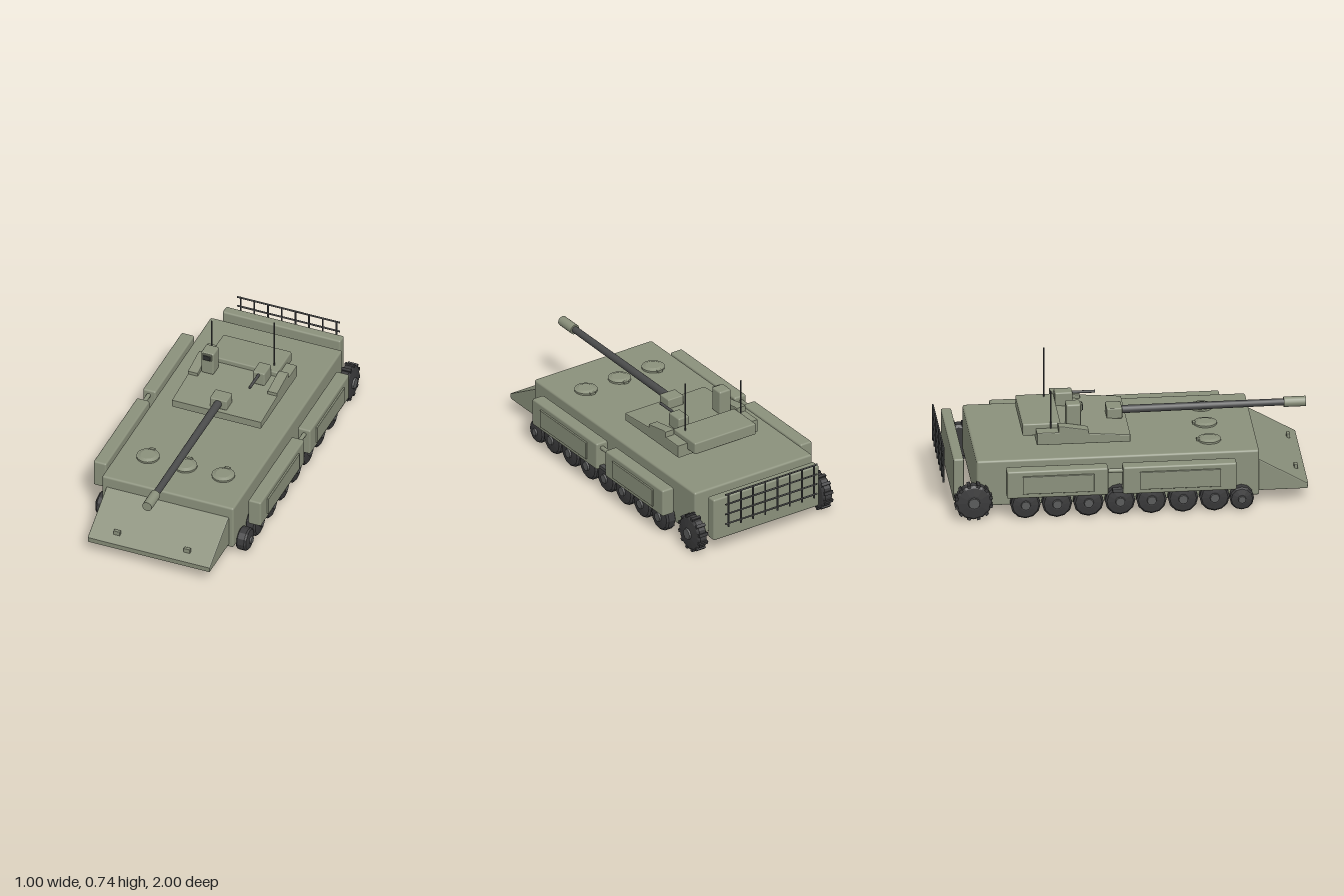
import * as THREE from 'three';
import { RoundedBoxGeometry } from 'three/addons/geometries/RoundedBoxGeometry.js';

const paint = (name, color) => {
  const m = new THREE.MeshStandardMaterial({ color });
  m.name = name;
  return m;
};

export function createModel() {
  const green = paint('armourGreen', 0x8b917c);
  const rubber = paint('rubber', 0x3a3a3b);
  const metal = paint('darkMetal', 0x4b4c4c);
  const hubGrey = paint('hubGrey', 0x5a5b5b);
  const glass = paint('sightGlass', 0x2e3130);

  const model = new THREE.Group();
  model.name = 'armouredVehicle';

  const add = (name, geo, mat, x = 0, y = 0, z = 0, parent = model) => {
    const m = new THREE.Mesh(geo, mat);
    m.name = name;
    m.position.set(x, y, z);
    parent.add(m);
    return m;
  };
  // Rounded box from its min and max corners
  const box = (name, mat, [x0, x1], [y0, y1], [z0, z1], r = 0.008, parent = model) =>
    add(name, new RoundedBoxGeometry(x1 - x0, y1 - y0, z1 - z0, 2, r), mat,
      (x0 + x1) / 2, (y0 + y1) / 2, (z0 + z1) / 2, parent);
  // Side profile of [z, y] points, extruded across x about its centre
  const prism = (name, mat, pts, width, x = 0, bevel = 0.006) => {
    const geo = new THREE.ExtrudeGeometry(
      new THREE.Shape(pts.map(p => new THREE.Vector2(...p))),
      { depth: width - 2 * bevel, bevelEnabled: true, bevelSize: bevel, bevelThickness: bevel, bevelOffset: -bevel, bevelSegments: 2 });
    geo.translate(0, 0, -width / 2 + bevel);
    geo.rotateY(-Math.PI / 2);
    return add(name, geo, mat, x);
  };
  // Cylinder between two points
  const rod = (name, mat, a, b, r, sides = 8, rEnd = r) => {
    const p = new THREE.Vector3(...a), q = new THREE.Vector3(...b);
    const d = q.clone().sub(p);
    const m = add(name, new THREE.CylinderGeometry(rEnd, r, d.length(), sides), mat);
    m.position.copy(p).add(q).multiplyScalar(0.5);
    m.quaternion.setFromUnitVectors(new THREE.Vector3(0, 1, 0), d.normalize());
    return m;
  };

  // Hull and sloped nose
  box('hull', green, [-0.385, 0.385], [0.065, 0.33], [-0.825, 0.71], 0.012);
  prism('nosePlate', green, [[0.69, 0.08], [0.975, 0.08], [0.978, 0.11], [0.71, 0.265], [0.69, 0.265]], 0.716);
  for (const s of [-1, 1])
    box('noseLight', green, [s * 0.205 - 0.019, s * 0.205 + 0.019], [0.138, 0.164], [0.915, 0.935], 0.003);

  // Roof hatches
  for (const x of [-0.22, 0, 0.22]) {
    add('hatchRing', new THREE.CylinderGeometry(0.063, 0.063, 0.012, 20), green, x, 0.334, 0.455);
    add('hatchLid', new THREE.CylinderGeometry(0.04, 0.057, 0.008, 20), green, x, 0.343, 0.455);
    box('hatchHinge', green, [x - 0.015, x + 0.015], [0.33, 0.344], [0.385, 0.402], 0.003);
  }

  // Wheels
  const wheel = (side, z, r, lugs) => {
    const g = new THREE.Group();
    g.name = lugs ? 'rearWheel' : 'roadWheel';
    const profile = [[0.001, -0.03], [r * 0.85, -0.03], [r, -0.02], [r, 0.02], [r * 0.88, 0.03], [r * 0.42, 0.036], [0.001, 0.036]];
    const geo = new THREE.LatheGeometry(profile.map(p => new THREE.Vector2(...p)), 12).toNonIndexed();
    geo.computeVertexNormals();
    add('tyre', geo, rubber, 0, 0, 0, g);
    add('hub', new THREE.CylinderGeometry(r * 0.3, r * 0.34, 0.014, 12), hubGrey, 0, 0.038, 0, g);
    for (let i = 0; i < lugs; i++) {
      const a = (i + 0.5) / lugs * Math.PI * 2;
      const lug = add('treadLug', new THREE.BoxGeometry(0.016, 0.056, 0.018), rubber, Math.cos(a) * r * 0.97, 0, -Math.sin(a) * r * 0.97, g);
      lug.rotation.y = a;
    }
    g.rotation.z = -side * Math.PI / 2;
    g.position.set(side * 0.41, r + (lugs ? 0.01 : 0.004), z);
    model.add(g);
  };

  for (const s of [-1, 1]) {
    wheel(s, 0.61, 0.066, 0);
    for (let i = 0; i < 7; i++) wheel(s, 0.462 - i * 0.171, 0.082, 0);
    wheel(s, -0.845, 0.1, 12);

    // Side armour modules with raised panels
    const span = (a, b) => [Math.min(s * a, s * b), Math.max(s * a, s * b)];
    for (const [z0, z1, p0, p1] of [[-0.04, 0.577, 0.05, 0.49], [-0.67, -0.12, -0.585, -0.197]]) {
      box('sideModule', green, span(0.415, 0.49), [0.147, 0.306], [z0, z1], 0.01);
      box('sidePanel', green, span(0.484, 0.5), [0.175, 0.277], [p0, p1], 0.003);
    }
    rod('moduleLink', green, [s * 0.455, 0.275, -0.13], [s * 0.455, 0.275, -0.03], 0.012);
    box('linkBracket', metal, span(0.44, 0.47), [0.15, 0.17], [-0.095, -0.03], 0.003);
  }

  // Rear plate and rack
  box('rearPlate', green, [-0.345, 0.345], [0.08, 0.33], [-0.947, -0.89], 0.01);
  for (let i = 0; i < 4; i++) {
    const y = 0.372 - i * 0.06;
    rod('rackRail', metal, [-0.3, y, -0.994], [0.3, y, -0.994], 0.005);
  }
  for (let i = 0; i < 8; i++) {
    const x = -0.28 + i * 0.08;
    rod('rackPost', metal, [x, 0.17, -0.994], [x, 0.375, -0.994], 0.005);
  }

  // Turret
  add('turretRing', new THREE.CylinderGeometry(0.2, 0.2, 0.03, 24), green, 0, 0.342, -0.23);
  prism('turretBody', green, [[0.022, 0.355], [0.022, 0.398], [-0.35, 0.428], [-0.485, 0.428], [-0.485, 0.355]], 0.524);
  box('turretBustle', green, [-0.2, 0.2], [0.387, 0.456], [-0.557, -0.35], 0.008);
  for (const s of [-1, 1])
    prism('turretCheek', green, [[-0.205, 0.405], [-0.205, 0.435], [-0.345, 0.46], [-0.367, 0.46], [-0.367, 0.405]], 0.058, s * 0.233, 0.004);

  // Main gun
  box('mantlet', green, [-0.05, 0.05], [0.4, 0.461], [-0.085, 0], 0.006);
  rod('gunBarrel', metal, [0, 0.434, -0.01], [0, 0.438, 0.89], 0.022, 16, 0.019);
  rod('muzzle', green, [0, 0.438, 0.88], [0, 0.438, 1], 0.028, 16);

  // Sight and machine gun
  box('sightHead', green, [-0.2, -0.126], [0.42, 0.56], [-0.32, -0.24], 0.01);
  box('sightHood', green, [-0.189, -0.136], [0.514, 0.554], [-0.25, -0.232], 0.003);
  box('sightWindow', glass, [-0.184, -0.141], [0.52, 0.548], [-0.234, -0.227], 0.002);
  box('gunMount', green, [0.096, 0.166], [0.42, 0.502], [-0.352, -0.255], 0.008);
  rod('machineGun', metal, [0.131, 0.488, -0.27], [0.131, 0.488, -0.13], 0.008, 10);

  // Antennas
  rod('tallAntenna', metal, [0.16, 0.44, -0.405], [0.16, 0.745, -0.405], 0.004, 6);
  rod('shortAntenna', metal, [-0.205, 0.41, -0.405], [-0.205, 0.65, -0.405], 0.004, 6);

  return model;
}
